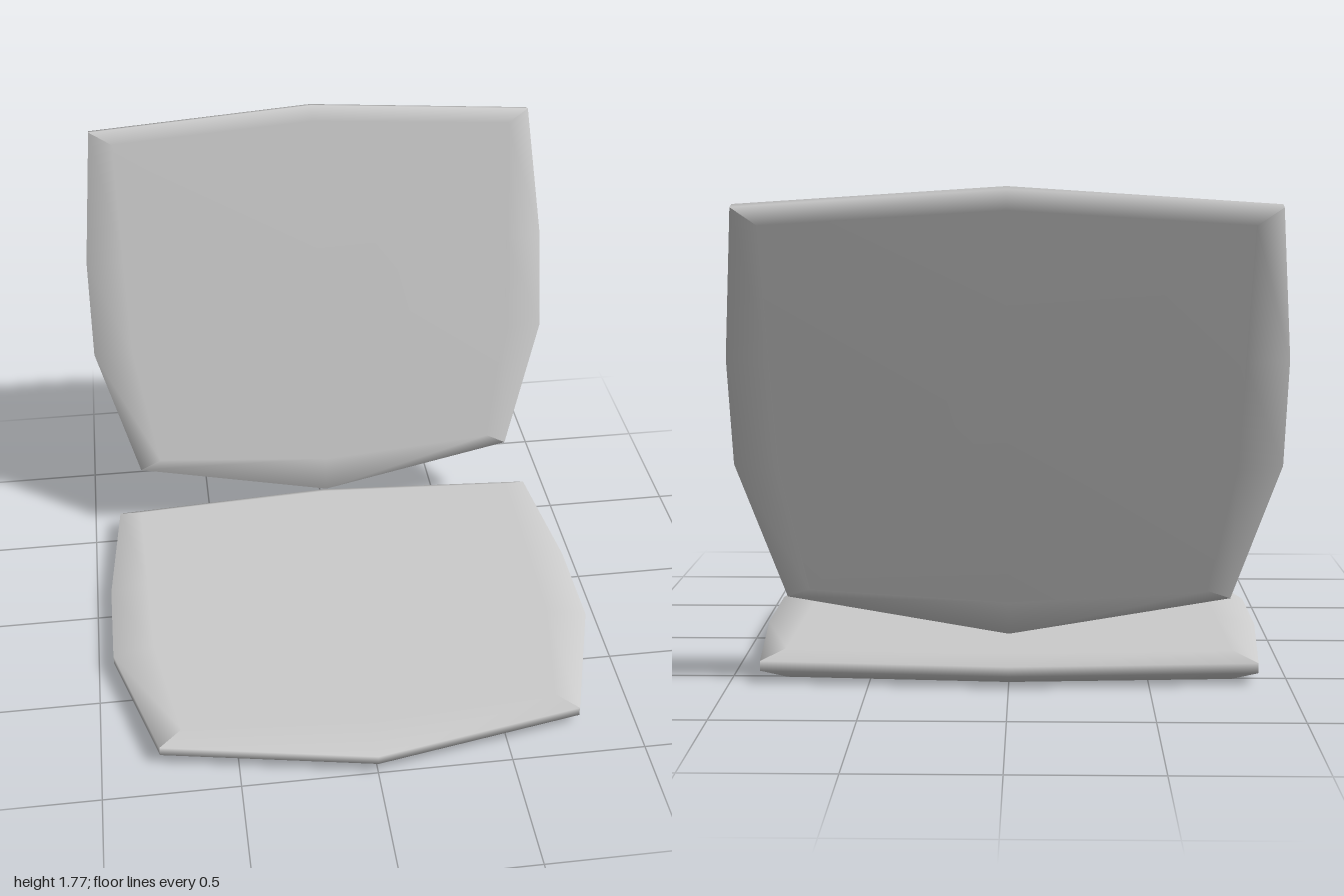
import * as THREE from 'three';

const TOP = 0.115, BOTTOM = 0.008, RIM_TOP = 0.081, RIM_BOTTOM = 0.045;

// Each edge of the cushion: outer rim points and matching inner points, as [x, z]
const rightSide = {
  outer: [[0.785, 0.85], [0.94, 0.33], [0.94, -0.06], [0.89, -0.585]],
  inner: [[0.70, 0.80], [0.78, 0.33], [0.79, -0.06], [0.80, -0.535]],
};
const mirror = (pts) => pts.map(([x, z]) => [-x, z]).reverse();
const leftSide = { outer: mirror(rightSide.outer), inner: mirror(rightSide.inner) };
const bridge = (from, to, outerMid, innerMid) => ({
  outer: [from.outer.at(-1), outerMid, to.outer[0]],
  inner: [from.inner.at(-1), innerMid, to.inner[0]],
});
const edges = [
  rightSide,
  bridge(rightSide, leftSide, [0, -0.645], [0, -0.585]),
  leftSide,
  bridge(leftSide, rightSide, [0, 1], [0, 0.85]),
];

// Softly shaded edge, blending into the flat faces but creased at the corners
function edgeGeometry({ outer, inner }) {
  const pos = [], index = [];
  outer.forEach(([x, z], i) => {
    const [u, w] = inner[i];
    pos.push(u, TOP, w, x, RIM_TOP, z, x, RIM_BOTTOM, z, u, BOTTOM, w);
  });
  for (let i = 0; i < outer.length - 1; i++) {
    for (let j = 0; j < 3; j++) {
      const a = i * 4 + j, b = a + 4;
      index.push(a, a + 1, b, b, a + 1, b + 1);
    }
  }
  const g = new THREE.BufferGeometry();
  g.setAttribute('position', new THREE.Float32BufferAttribute(pos, 3));
  g.setIndex(index);
  g.computeVertexNormals();
  for (let i = 0; i < outer.length; i++) {
    g.attributes.normal.setXYZ(i * 4, 0, 1, 0);
    g.attributes.normal.setXYZ(i * 4 + 3, 0, -1, 0);
  }
  return g;
}

// Slightly domed face: a fan around the middle of the inner outline
function faceGeometry(y, centreY, up) {
  const ring = edges.flatMap((e) => e.inner.slice(0, -1));
  const pos = [0, centreY, 0.12], index = [];
  ring.forEach(([x, z], i) => {
    const a = i + 1, b = (i + 1) % ring.length + 1;
    pos.push(x, y, z);
    index.push(0, ...(up ? [a, b] : [b, a]));
  });
  const g = new THREE.BufferGeometry();
  g.setAttribute('position', new THREE.Float32BufferAttribute(pos, 3));
  g.setIndex(index);
  g.computeVertexNormals();
  return g;
}

function cushion(name, material) {
  const group = new THREE.Group();
  group.name = name;
  const add = (part, geometry) => {
    const mesh = new THREE.Mesh(geometry, material);
    mesh.name = part;
    group.add(mesh);
  };
  const names = ['leftEdge', 'rearEdge', 'rightEdge', 'frontEdge'];
  edges.forEach((e, i) => add(names[i], edgeGeometry(e)));
  add('upperFace', faceGeometry(TOP, 0.12, true));
  add('lowerFace', faceGeometry(BOTTOM, 0, false));
  return group;
}

export function createModel() {
  const material = new THREE.MeshStandardMaterial({ color: 0xcccccc });
  const model = new THREE.Group();
  model.name = 'chairCushions';

  const seat = cushion('seat', material);

  // The backrest is the same cushion, tipped up and leaning back
  const backrest = cushion('backrest', material);
  backrest.rotation.x = THREE.MathUtils.degToRad(74.4);
  backrest.position.set(0, 1.125, -0.856);

  model.add(seat, backrest);
  return model;
}
